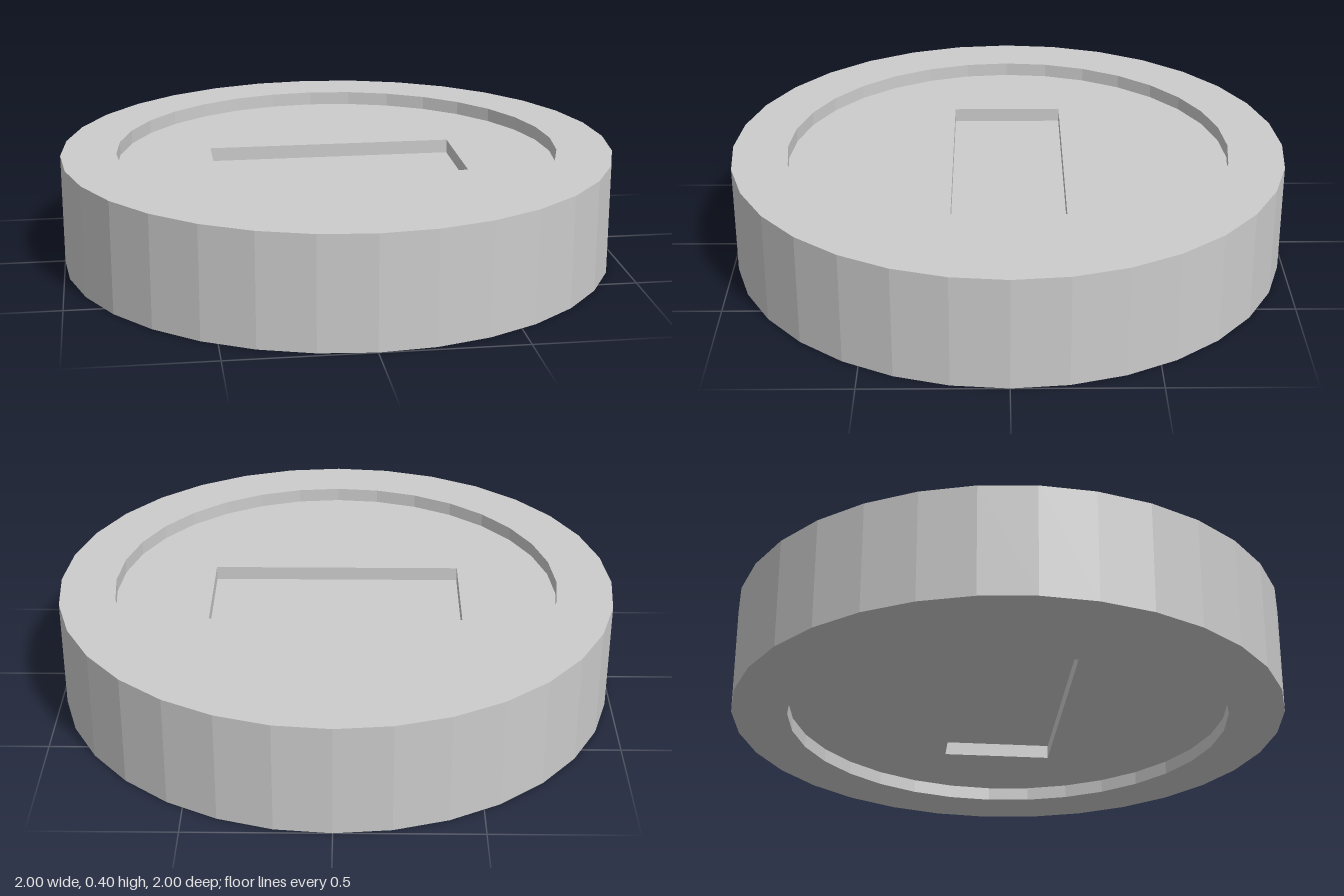
import * as THREE from 'three';

const SIDES = 32;
const HEIGHT = 0.4, OUTER = 1, INNER = 0.8; // disc height, outer and recess radius
const STEP = 0.05;                          // depth of each recess
const SLOT_W = 0.9, SLOT_D = 0.4;           // rectangular recess

export function createModel() {
  const material = new THREE.MeshStandardMaterial({ color: 0xcccccc, flatShading: true });
  const add = (parent, name, geometry) => {
    const mesh = new THREE.Mesh(geometry, material);
    mesh.name = name;
    parent.add(mesh);
    return mesh;
  };

  const model = new THREE.Group();
  model.name = 'disc';

  // Raised rim with the walls of the round recesses on both faces
  const profile = [
    [INNER, STEP], [INNER, 0], [OUTER, 0],
    [OUTER, HEIGHT], [INNER, HEIGHT], [INNER, HEIGHT - STEP],
  ].map(([r, y]) => new THREE.Vector2(r, y));
  add(model, 'rim', new THREE.LatheGeometry(profile, SIDES));

  // Round recess floor with a rectangular opening
  const circle = Array.from({ length: SIDES }, (_, i) => {
    const a = (i / SIDES) * Math.PI * 2;
    return new THREE.Vector2(INNER * Math.cos(a), INNER * Math.sin(a));
  });
  const floorShape = new THREE.Shape(circle);
  const w = SLOT_W / 2, d = SLOT_D / 2;
  floorShape.holes.push(new THREE.Path(
    [[-w, -d], [-w, d], [w, d], [w, -d]].map(([x, y]) => new THREE.Vector2(x, y))));

  const makeFace = (name) => {
    const face = new THREE.Group();
    face.name = name;
    const floorY = HEIGHT / 2 - STEP; // measured from mid height

    add(face, 'recessFloor',
      new THREE.ShapeGeometry(floorShape).rotateX(-Math.PI / 2).translate(0, floorY, 0));
    add(face, 'slotFloor',
      new THREE.PlaneGeometry(SLOT_W, SLOT_D).rotateX(-Math.PI / 2).translate(0, floorY - STEP, 0));

    // Four slot walls facing inwards
    for (let i = 0; i < 4; i++) {
      const [length, offset] = i % 2 ? [SLOT_D, w] : [SLOT_W, d];
      add(face, 'slotWall',
        new THREE.PlaneGeometry(length, STEP)
          .translate(0, floorY - STEP / 2, -offset)
          .rotateY((i * Math.PI) / 2));
    }
    face.position.y = HEIGHT / 2;
    model.add(face);
    return face;
  };

  // Identical faces above and below
  makeFace('topFace');
  makeFace('bottomFace').rotation.x = Math.PI;

  return model;
}
